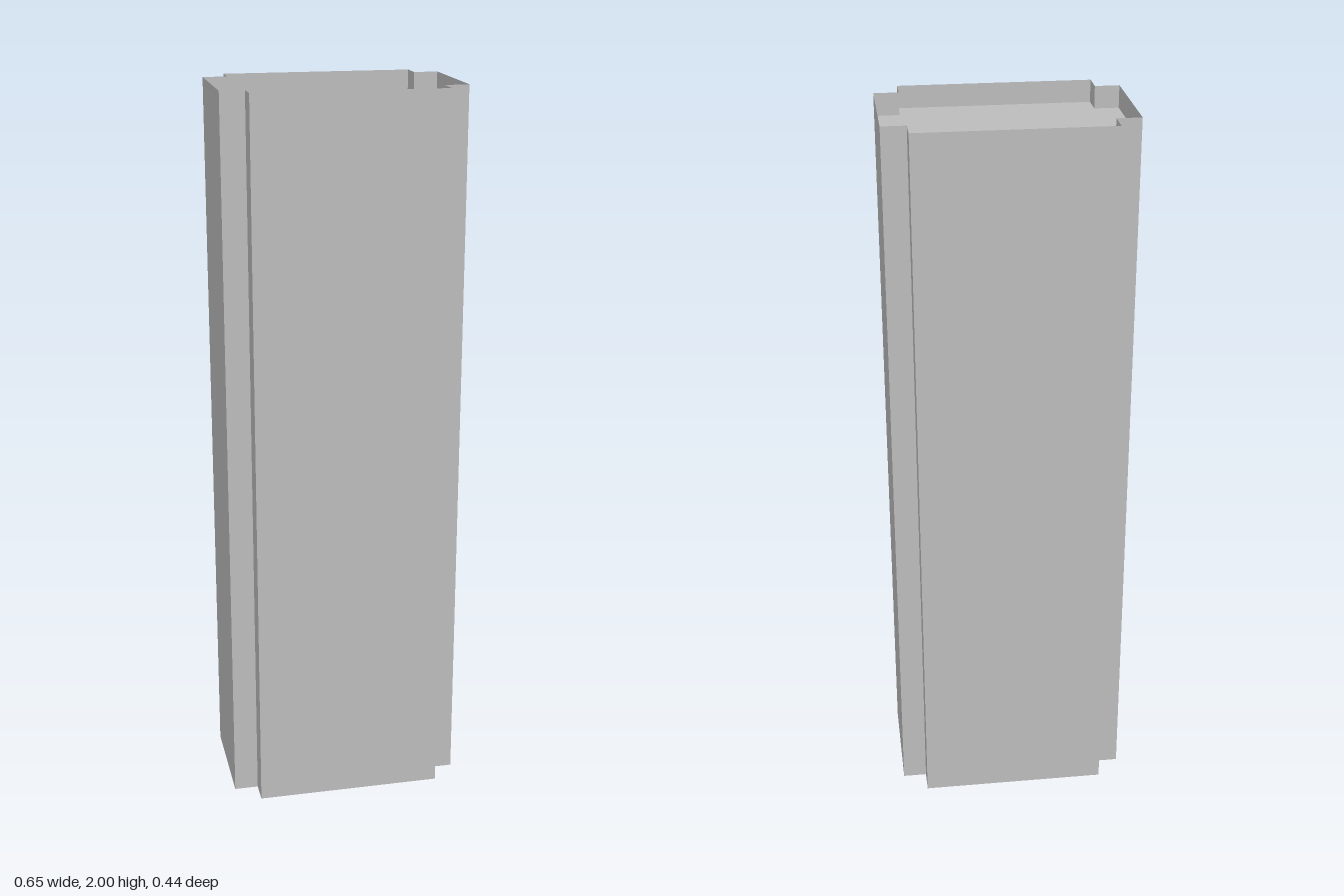
import * as THREE from 'three';

const OUT_X = 0.325, OUT_Z = 0.22; // outer half sizes
const IN_X = 0.259, IN_Z = 0.154;  // half sizes at the corner notches
const ROOF_Y = 1.94, TOP_Y = 2;

// Notched plan outline as [x, z], counter-clockwise seen with z up the page
const PLAN = [
  [OUT_X, -IN_Z], [OUT_X, IN_Z], [IN_X, IN_Z], [IN_X, OUT_Z],
  [-IN_X, OUT_Z], [-IN_X, IN_Z], [-OUT_X, IN_Z], [-OUT_X, -IN_Z],
  [-IN_X, -IN_Z], [-IN_X, -OUT_Z], [IN_X, -OUT_Z], [IN_X, -IN_Z],
];

// Open thin wall following the plan between two heights, with flat faces
function wallGeometry(y0, y1) {
  const pos = [];
  PLAN.forEach(([ax, az], i) => {
    const [bx, bz] = PLAN[(i + 1) % PLAN.length];
    pos.push(ax, y0, az, ax, y1, az, bx, y1, bz);
    pos.push(ax, y0, az, bx, y1, bz, bx, y0, bz);
  });
  const geometry = new THREE.BufferGeometry();
  geometry.setAttribute('position', new THREE.Float32BufferAttribute(pos, 3));
  geometry.computeVertexNormals();
  return geometry;
}

export function createModel() {
  const group = new THREE.Group();
  group.name = 'tower';
  const concrete = new THREE.MeshStandardMaterial({ color: 0xbbbbbb, side: THREE.DoubleSide });
  concrete.name = 'concrete grey';

  const add = (name, geometry) => {
    const mesh = new THREE.Mesh(geometry, concrete);
    mesh.name = name;
    group.add(mesh);
    return mesh;
  };

  // Hollow shaft, open underneath
  add('towerWalls', wallGeometry(0, ROOF_Y));

  // Thin rim standing around the roof
  add('parapet', wallGeometry(ROOF_Y, TOP_Y));

  // Recessed flat roof
  const shape = new THREE.Shape(PLAN.map(([x, z]) => new THREE.Vector2(x, -z)));
  const roof = add('roof', new THREE.ShapeGeometry(shape).rotateX(-Math.PI / 2));
  roof.position.y = ROOF_Y;

  return group;
}
